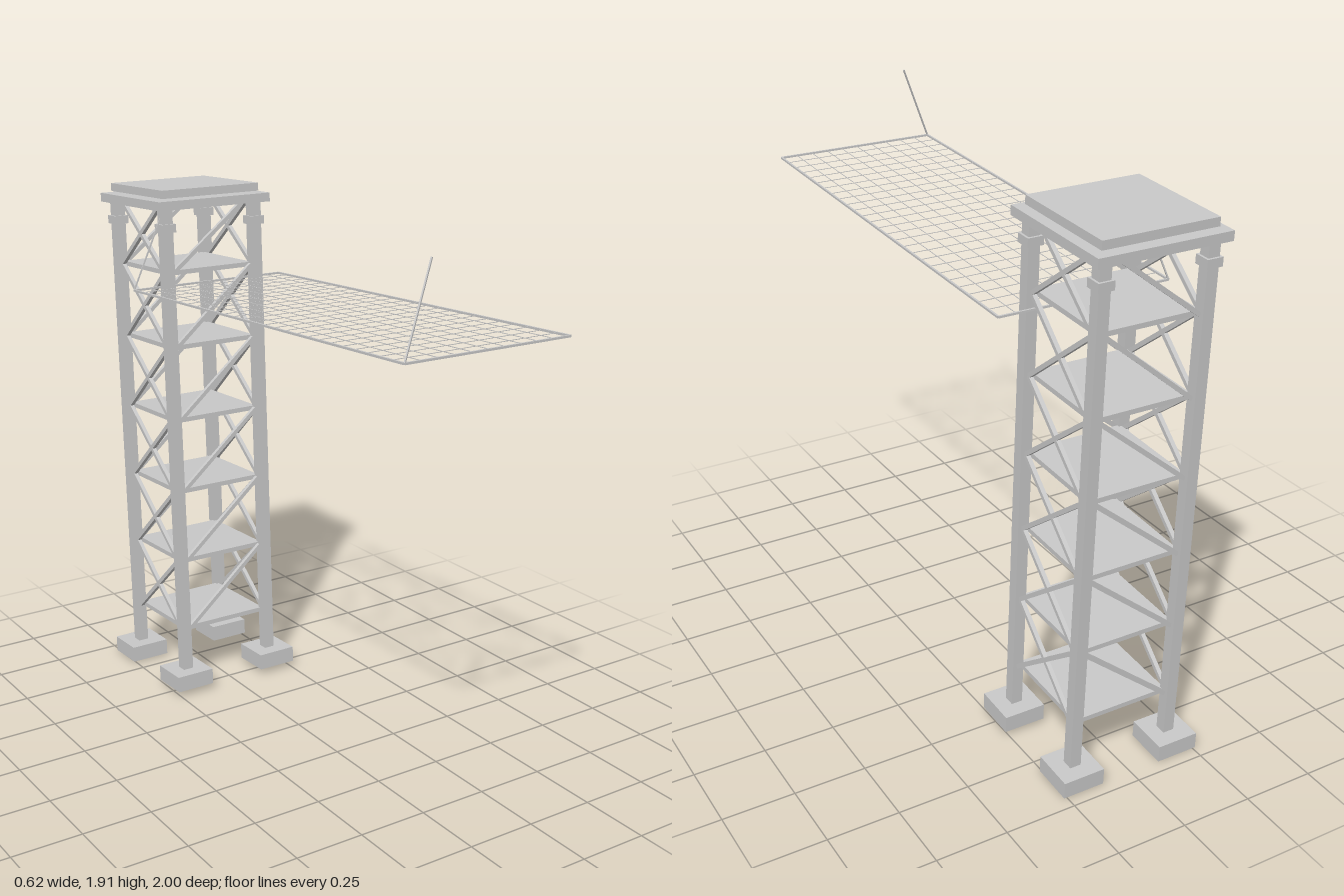
import * as THREE from 'three';

const grey = new THREE.MeshStandardMaterial({ color: 0xc8c8c8 });
grey.name = 'lightGrey';

function box(parent, name, size, pos) {
  const mesh = new THREE.Mesh(new THREE.BoxGeometry(...size), grey);
  mesh.name = name;
  mesh.position.set(...pos);
  parent.add(mesh);
  return mesh;
}

// Square bar running from one point to another
function bar(parent, name, from, to, width) {
  const a = new THREE.Vector3(...from), b = new THREE.Vector3(...to);
  const mid = a.clone().add(b).multiplyScalar(0.5);
  const mesh = box(parent, name, [width, width, a.distanceTo(b)], mid.toArray());
  mesh.lookAt(b);
  return mesh;
}

function createTower() {
  const tower = new THREE.Group();
  tower.name = 'tower';
  const leg = 0.185, inner = 0.165, step = 0.275, first = 0.215;

  // Four legs with footings and collars
  for (const sx of [-1, 1]) {
    for (const sz of [-1, 1]) {
      const x = sx * leg, z = sz * leg;
      box(tower, 'footing', [0.15, 0.06, 0.15], [x, 0.03, z]);
      box(tower, 'leg', [0.04, 1.77, 0.04], [x, 0.945, z]);
      box(tower, 'collar', [0.056, 0.03, 0.056], [x, 1.755, z]);
    }
  }

  // Floors and the braces above each
  for (let i = 0; i < 6; i++) {
    const y = first + i * step;
    const top = Math.min(y + step, 1.845);
    box(tower, 'floor', [0.35, 0.017, 0.35], [0, y, 0]);
    for (const s of [-1, 1]) {
      bar(tower, 'faceBrace', [-inner, y, s * leg], [inner, top, s * leg], 0.015);
      bar(tower, 'sideBrace', [s * leg, y, -inner], [s * leg, top, inner], 0.015);
      bar(tower, 'sideBrace', [s * leg, y, inner], [s * leg, top, -inner], 0.015);
    }
  }

  // Two roof slabs with a narrow gap between them
  box(tower, 'lowerRoof', [0.46, 0.032, 0.46], [0, 1.837, 0]);
  box(tower, 'upperRoof', [0.4, 0.029, 0.4], [0, 1.8745, 0]);
  return tower;
}

function createNet() {
  const net = new THREE.Group();
  net.name = 'net';
  const x0 = -0.307, x1 = 0.307, z0 = -0.605, z1 = 0.995;
  const at = (x, z) => [x, 1.557 + (z - z0) / (z1 - z0) * 0.065, z];

  // Wire grid inside a heavier frame
  for (let i = 0; i <= 10; i++) {
    const x = x0 + (x1 - x0) * i / 10, edge = i % 10 === 0;
    bar(net, edge ? 'netFrame' : 'netWire', at(x, z0), at(x, z1), edge ? 0.007 : 0.002);
  }
  for (let i = 0; i <= 26; i++) {
    const z = z0 + (z1 - z0) * i / 26, edge = i % 26 === 0;
    bar(net, edge ? 'netFrame' : 'netWire', at(x0, z), at(x1, z), edge ? 0.007 : 0.002);
  }

  // Leaning rods at the right-hand corners
  bar(net, 'outerRod', at(x0, z1), [-0.19, 1.9, 0.955], 0.005);
  bar(net, 'towerRod', at(x0, z0), [-0.19, 1.84, -0.585], 0.005);
  return net;
}

export function createModel() {
  const model = new THREE.Group();
  model.name = 'towerWithNet';
  const tower = createTower();
  // The whole tower leans slightly backwards
  tower.position.set(0, 0.011, -0.695);
  tower.rotation.x = -0.042;
  model.add(tower, createNet());
  return model;
}
